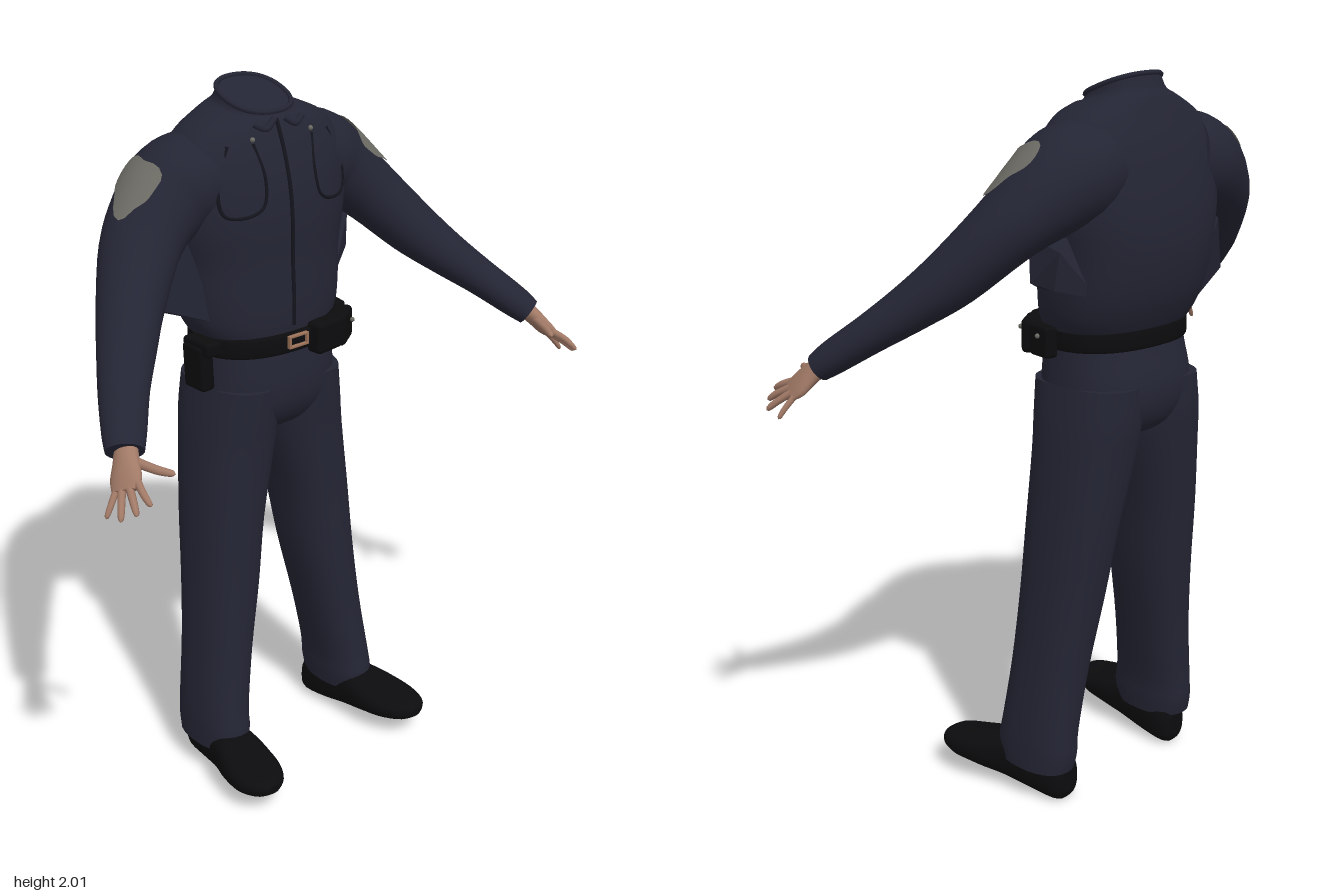
import * as THREE from 'three';
import { RoundedBoxGeometry } from 'three/addons/geometries/RoundedBoxGeometry.js';
import { ConvexGeometry } from 'three/addons/geometries/ConvexGeometry.js';

const V = (x, y, z) => new THREE.Vector3(x, y, z);
const mat = (name, color, side = THREE.FrontSide) => {
  const m = new THREE.MeshStandardMaterial({ color, side });
  m.name = name;
  return m;
};

// Smooth interpolation through rows of numbers, t from 0 to 1
function sample(rows, t) {
  const n = rows.length - 1, f = Math.min(Math.max(t, 0), 1) * n;
  const i = Math.min(Math.floor(f), n - 1), k = f - i;
  const at = j => rows[Math.min(Math.max(j, 0), n)];
  return rows[0].map((_, c) => {
    const p = at(i - 1)[c], q = at(i)[c], r = at(i + 1)[c], s = at(i + 2)[c];
    return q + 0.5 * k * (r - p + k * (2 * p - 5 * q + 4 * r - s + k * (3 * (q - r) + s - p)));
  });
}

// Closed skin over fn(u, angle); side = -1 mirrors it in x
function loft(fn, nu, nv, side = 1, caps = true) {
  const pos = [], idx = [];
  const push = p => pos.push(p.x * side, p.y, p.z);
  const tri = (a, b, c) => (side > 0 ? idx.push(a, b, c) : idx.push(a, c, b));
  const ring = u => Array.from({ length: nv }, (_, j) => fn(u, j / nv * Math.PI * 2));
  for (let i = 0; i <= nu; i++) ring(i / nu).forEach(push);
  for (let i = 0; i < nu; i++) for (let j = 0; j < nv; j++) {
    const a = i * nv + j, b = i * nv + (j + 1) % nv;
    tri(a, a + nv, b + nv);
    tri(a, b + nv, b);
  }
  if (caps) for (const u of [0, 1]) {
    const pts = ring(u), base = pos.length / 3;
    pts.forEach(push);
    push(pts.reduce((s, p) => s.add(p), V(0, 0, 0)).divideScalar(nv));
    for (let j = 0; j < nv; j++) {
      const a = base + j, b = base + (j + 1) % nv;
      u ? tri(base + nv, b, a) : tri(base + nv, a, b);
    }
  }
  const g = new THREE.BufferGeometry();
  g.setAttribute('position', new THREE.Float32BufferAttribute(pos, 3));
  g.setIndex(idx);
  g.computeVertexNormals();
  return g;
}

const sp = (v, e) => Math.sign(v) * Math.abs(v) ** e;
// Upright cross-sections: [y, centreX, halfWidth, frontZ, backZ, tilt]
const upright = (rows, e = 0.85) => (u, v) => {
  const [y, cx, a, f, b, tilt] = sample(rows, u), s = sp(Math.sin(v), e);
  return V(cx + a * sp(Math.cos(v), e), y - tilt * s, (f + b) / 2 + (f - b) / 2 * s);
};

const TORSO = [
  [1.33, 0, 0.205, 0, -0.285, 0], [1.38, 0, 0.235, 0.005, -0.315, 0], [1.45, 0, 0.25, 0.005, -0.345, 0],
  [1.55, 0, 0.26, 0, -0.365, 0], [1.65, 0, 0.28, 0, -0.365, 0], [1.75, 0, 0.285, -0.01, -0.35, 0],
  [1.83, 0, 0.275, -0.03, -0.33, 0], [1.895, 0, 0.225, -0.055, -0.305, 0], [1.932, 0, 0.15, -0.07, -0.285, 0.01],
  [1.945, 0, 0.108, -0.075, -0.27, 0.02], [1.968, 0, 0.098, -0.08, -0.255, 0.033]];
const NECK = [[1.968, 0, 0.098, -0.08, -0.255, 0.033], [1.945, 0, 0.08, -0.095, -0.24, 0.02], [1.91, 0, 0.01, -0.16, -0.18, 0]];
const HIPS = [
  [1.34, 0, 0.205, 0, -0.285, 0], [1.28, 0, 0.208, 0.01, -0.3, 0], [1.2, 0, 0.215, 0.018, -0.32, 0],
  [1.13, 0, 0.215, 0.008, -0.315, 0], [1.07, 0, 0.15, -0.03, -0.28, 0], [1.03, 0, 0.04, -0.1, -0.2, 0]].reverse();
const LEG = [
  [0.1, 0.25, 0.074, 0.03, -0.205, 0], [0.15, 0.247, 0.076, 0.042, -0.215, 0], [0.22, 0.242, 0.077, 0.03, -0.215, 0],
  [0.4, 0.215, 0.085, 0.01, -0.225, 0], [0.6, 0.185, 0.097, 0, -0.248, 0], [0.8, 0.162, 0.104, -0.005, -0.275, 0],
  [1, 0.13, 0.117, -0.005, -0.3, 0], [1.1, 0.118, 0.116, 0.002, -0.313, 0], [1.2, 0.11, 0.105, 0.01, -0.315, 0]];
// Shoe sections: [z, centreX, halfWidth, bottomY, topY]
const SHOE = [
  [-0.195, 0.232, 0.025, 0.03, 0.1], [-0.175, 0.233, 0.05, 0.003, 0.13], [-0.1, 0.24, 0.062, 0.008, 0.16],
  [0, 0.255, 0.068, 0.024, 0.16], [0.07, 0.268, 0.08, 0.037, 0.145], [0.15, 0.28, 0.08, 0.05, 0.125],
  [0.21, 0.286, 0.056, 0.062, 0.115], [0.235, 0.287, 0.02, 0.075, 0.1]];
// Sleeve: [x, y, z, horizontal radius, vertical radius]
const SLEEVE = [
  [0.17, 1.775, -0.19, 0.14, 0.125], [0.24, 1.755, -0.195, 0.14, 0.13], [0.31, 1.715, -0.185, 0.125, 0.115],
  [0.4, 1.64, -0.145, 0.108, 0.092], [0.5, 1.525, -0.06, 0.088, 0.078], [0.57, 1.45, 0.015, 0.076, 0.064],
  [0.64, 1.38, 0.095, 0.064, 0.052], [0.7, 1.315, 0.175, 0.055, 0.045], [0.725, 1.285, 0.21, 0.048, 0.038]];

function sleeve(t, v, off = 0) {
  const [x, y, z, a, b] = sample(SLEEVE, t);
  const p = sample(SLEEVE, t - 0.02), q = sample(SLEEVE, t + 0.02);
  const T = V(q[0] - p[0], q[1] - p[1], q[2] - p[2]).normalize();
  const N = V(T.z, 0, -T.x).normalize(), B = N.clone().cross(T);
  return V(x, y, z).addScaledVector(N, (a + off) * Math.cos(v)).addScaledVector(B, (b + off) * Math.sin(v));
}

// Point on the jacket front at a given x and y
function onFront(x, y, off = 0) {
  let lo = 0, hi = 1;
  for (let i = 0; i < 20; i++) {
    const m = (lo + hi) / 2;
    if (sample(TORSO, m)[0] < y) lo = m; else hi = m;
  }
  const [, , a, f, b] = sample(TORSO, lo), c = Math.min(1, Math.abs(x) / a) ** (1 / 0.85);
  return V(x, y, (f + b) / 2 + (f - b) / 2 * Math.sqrt(1 - c * c) ** 0.85 + off);
}

export function createModel() {
  const root = new THREE.Group();
  root.name = 'uniformedFigure';
  const navy = mat('navy cloth', 0x242534), seam = mat('dark seam', 0x14151d), black = mat('black leather', 0x0c0c0e);
  const skin = mat('skin', 0xa27a67), grey = mat('grey patch', 0x6c6b64, THREE.DoubleSide), bronze = mat('bronze', 0x9c7259);
  const add = (name, geo, m, parent = root) => {
    const mesh = new THREE.Mesh(geo, m);
    mesh.name = name;
    parent.add(mesh);
    return mesh;
  };
  const tube = (pts, r, n = 16, closed = false) => new THREE.TubeGeometry(new THREE.CatmullRomCurve3(pts, closed), n, r, 6, closed);
  const box = (name, w, h, d, x, y, z, ry = 0, rz = 0, m = black) => {
    const b = add(name, new RoundedBoxGeometry(w, h, d, 2, Math.min(w, h, d) * 0.25), m);
    b.position.set(x, y, z);
    b.rotation.set(0, ry, rz);
  };

  // Jacket body, collar opening and trouser seat
  add('jacket', loft(upright(TORSO), 40, 40), navy);
  add('neckOpening', loft(upright(NECK), 8, 32), seam);
  add('trouserSeat', loft(upright(HIPS), 20, 36), navy);
  const rim = Array.from({ length: 20 }, (_, i) => upright(TORSO)(1, i / 20 * Math.PI * 2));
  add('collarRim', tube(rim, 0.007, 48, true), navy);

  // Jacket front: placket, snaps and pockets
  const line = [1.92, 1.85, 1.75, 1.65, 1.55, 1.45, 1.37].map(y => onFront(-0.01, y));
  add('placket', tube(line, 0.006, 30), seam);
  for (const s of [-1, 1]) {
    const path = p => p.map(([x, y]) => onFront(x * s, y, -0.001));
    add('pocketSeam', tube(path([[0.1, 1.87], [0.085, 1.78], [0.1, 1.71], [0.15, 1.69], [0.205, 1.7], [0.215, 1.76], [0.17, 1.87]]), 0.005, 40), seam);
    add('collarFlap', tube(path([[0.015, 1.92], [0.05, 1.9], [0.085, 1.915]]), 0.009, 12), navy);
    const snap = add('pocketSnap', new THREE.SphereGeometry(0.007, 8, 6), grey);
    snap.position.copy(onFront(0.1 * s, 1.88, 0.002));
  }

  // Loose folds of cloth under the arms
  add('rightJacketFold', new ConvexGeometry([V(-0.2, 1.68, -0.2), V(-0.27, 1.62, -0.12), V(-0.29, 1.6, -0.26), V(-0.375, 1.46, -0.16),
    V(-0.37, 1.445, -0.21), V(-0.2, 1.39, -0.26), V(-0.21, 1.4, -0.08)]), navy);
  add('leftJacketFold', new ConvexGeometry([V(0.2, 1.66, -0.2), V(0.28, 1.6, -0.1), V(0.31, 1.58, -0.24), V(0.315, 1.49, -0.14),
    V(0.31, 1.48, -0.22), V(0.2, 1.45, -0.27), V(0.21, 1.45, -0.07)]), navy);

  for (const s of [1, -1]) {
    const side = s > 0 ? 'left' : 'right';
    // Trouser leg and shoe
    add(side + 'TrouserLeg', loft(upright(LEG), 32, 28, s), navy);
    add(side + 'Shoe', loft((u, v) => {
      const [z, cx, w, b, t] = sample(SHOE, u);
      return V(cx + w * sp(Math.cos(v), 0.8), (b + t) / 2 - (t - b) / 2 * sp(Math.sin(v), 0.8), z);
    }, 24, 24, s), black);

    // Sleeve and shoulder patch with an uneven edge
    add(side + 'Sleeve', loft((u, v) => sleeve(u, v), 36, 28, s), navy);
    add(side + 'ShoulderPatch', loft((u, v) => {
      const r = u * (1 + 0.12 * Math.sin(3 * v + 1) + 0.06 * Math.sin(5 * v));
      return sleeve(0.27 + 0.085 * r * Math.cos(v), (s > 0 ? -1.75 : -1.4) + 0.58 * r * Math.sin(v), 0.006);
    }, 8, 28, s, false), grey);

    // Hand: flat palm with splayed fingers
    const hand = new THREE.Group();
    hand.name = side + 'Hand';
    root.add(hand);
    const wide = V(0.42, -0.35, -0.84).normalize(), T = V(0.55, -0.68, 0.55).normalize();
    const N = wide.clone().addScaledVector(T, -wide.dot(T)).normalize(), B = N.clone().cross(T);
    const PALM = [[0.712, 1.3, 0.197, 0.03, 0.025], [0.735, 1.268, 0.228, 0.036, 0.022], [0.755, 1.238, 0.253, 0.045, 0.018], [0.772, 1.218, 0.27, 0.038, 0.01]];
    add('palm', loft((u, v) => {
      const [x, y, z, a, b] = sample(PALM, u);
      return V(x, y, z).addScaledVector(N, a * Math.cos(v)).addScaledVector(B, b * Math.sin(v));
    }, 10, 16, s), skin, hand);
    const fingers = [
      [[0.722, 1.27, 0.24], [0.7, 1.262, 0.3], [0.676, 1.258, 0.342], 0.013],
      [[0.745, 1.24, 0.285], [0.757, 1.225, 0.325], [0.76, 1.208, 0.358], 0.011],
      [[0.762, 1.228, 0.275], [0.78, 1.208, 0.315], [0.792, 1.187, 0.344], 0.011],
      [[0.775, 1.218, 0.262], [0.8, 1.193, 0.293], [0.818, 1.17, 0.315], 0.0105],
      [[0.78, 1.212, 0.245], [0.805, 1.182, 0.255], [0.822, 1.158, 0.26], 0.009]];
    fingers.forEach(([a, b, c, r], i) => {
      const rows = [a, b, c], tip = V(c[0] - a[0], c[1] - a[1], c[2] - a[2]).normalize();
      const n = V(0, 1, 0).cross(tip).normalize(), m = n.clone().cross(tip);
      add(i ? 'finger' : 'thumb', loft((u, v) => {
        const w = r * (1 - 0.25 * u) * Math.sqrt(Math.max(0.02, 1 - u ** 8));
        return V(...sample(rows, u)).addScaledVector(n, w * Math.cos(v)).addScaledVector(m, w * Math.sin(v));
      }, 10, 8, s), skin, hand);
    });
  }

  // Belt, buckle, pouches and holster
  const band = (y, g) => [y, 0, 0.212 + g, 0.012 + g, -0.292 - g, 0];
  add('belt', loft(upright([band(1.298, 0), band(1.303, 0.008), band(1.347, 0.008), band(1.352, 0)]), 9, 40), black);
  for (const y of [1.316, 1.346]) box('buckleBar', 0.068, 0.007, 0.012, -0.012, y, 0.024, 0, 0, bronze);
  for (const x of [-0.043, 0.019]) box('buckleSide', 0.007, 0.036, 0.012, x, 1.331, 0.024, 0, 0, bronze);
  box('frontPouch', 0.1, 0.09, 0.055, 0.09, 1.322, 0.02, 0.12);
  box('middlePouch', 0.1, 0.095, 0.06, 0.175, 1.318, -0.015, 0.6);
  box('sidePouch', 0.08, 0.085, 0.04, 0.228, 1.32, -0.1, 1.4);
  for (const [x, z] of [[0.2, 0.013], [0.251, -0.1]]) {
    const stud = add('pouchStud', new THREE.SphereGeometry(0.007, 8, 6), grey);
    stud.position.set(x, 1.335, z);
  }
  box('holster', 0.045, 0.13, 0.085, -0.244, 1.275, -0.12, 0, 0.04);
  box('holsterTop', 0.05, 0.04, 0.11, -0.238, 1.335, -0.11);
  return root;
}
